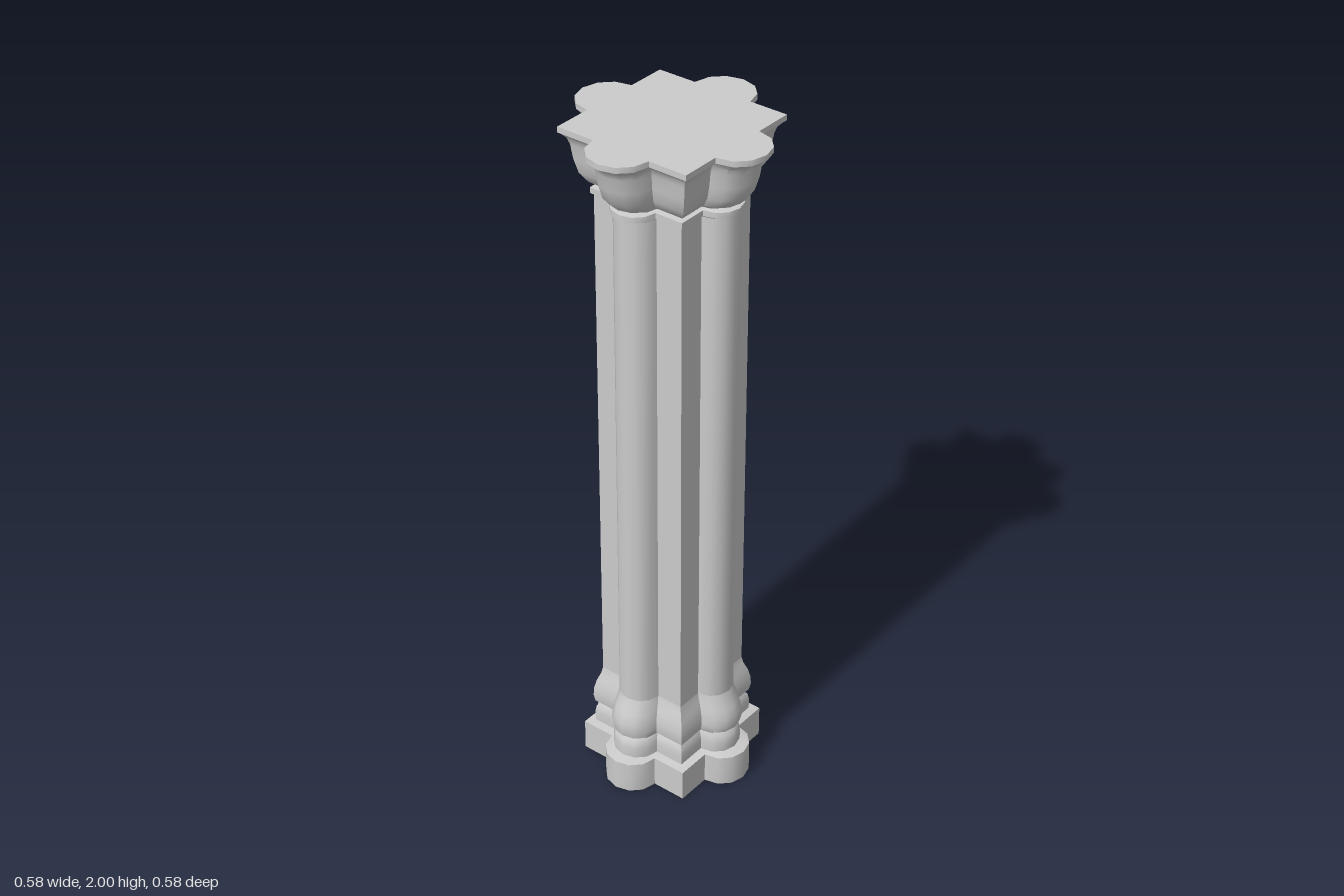
import * as THREE from 'three';
import { toCreasedNormals } from 'three/addons/utils/BufferGeometryUtils.js';

const REACH = 0.288; // lobe reach of the full-size cross-section
const material = new THREE.MeshStandardMaterial({ color: 0xcccccc, side: THREE.DoubleSide });

// Square plan with a faceted half-round lobe on each side
function crossSection() {
  const quarter = [
    [0.2, -0.087], [0.245, -0.076], [0.276, -0.045], [REACH, 0],
    [0.276, 0.045], [0.245, 0.076], [0.2, 0.087], [0.2, 0.2],
  ];
  const points = [];
  for (let k = 0; k < 4; k++) {
    for (const [x, y] of quarter) {
      points.push(new THREE.Vector2(x, y).rotateAround(new THREE.Vector2(), k * Math.PI / 2));
    }
  }
  return points;
}

const section = crossSection();

// Sweep the section up a profile of [reach, height] pairs
function loft(name, profile) {
  const positions = [];
  const index = [];
  const n = section.length;
  for (const [reach, y] of profile) {
    const s = reach / REACH;
    for (const p of section) positions.push(p.x * s, y, -p.y * s);
  }
  for (let r = 0; r < profile.length - 1; r++) {
    for (let i = 0; i < n; i++) {
      const a = r * n + i;
      const b = r * n + (i + 1) % n;
      index.push(a, b, b + n, a, b + n, a + n);
    }
  }
  const geometry = new THREE.BufferGeometry();
  geometry.setAttribute('position', new THREE.Float32BufferAttribute(positions, 3));
  geometry.setIndex(index);
  const mesh = new THREE.Mesh(toCreasedNormals(geometry, 0.7), material);
  mesh.name = name;
  return mesh;
}

export function createModel() {
  const column = new THREE.Group();
  column.name = 'column';

  // Base, open underneath
  column.add(loft('plinth', [[0.257, 0], [0.257, 0.095], [0.225, 0.1]]));
  column.add(loft('baseBand', [[0.225, 0.1], [0.226, 0.13], [0.222, 0.15], [0.212, 0.163]]));
  column.add(loft('baseMoulding', [
    [0.212, 0.163], [0.225, 0.17], [0.23, 0.19], [0.229, 0.215],
    [0.22, 0.245], [0.207, 0.27], [0.201, 0.29],
  ]));

  // Shaft and the ring at its neck
  column.add(loft('shaft', [[0.201, 0.29], [0.2, 1.81]]));
  column.add(loft('neckRing', [[0.2, 1.808], [0.21, 1.812], [0.21, 1.828], [0.185, 1.832]]));

  // Bell-shaped capital with a thin slab on top
  column.add(loft('capital', [
    [0.185, 1.83], [0.213, 1.843], [0.237, 1.87], [0.25, 1.91],
    [0.257, 1.95], [0.265, 1.968], [0.28, 1.98],
  ]));
  column.add(loft('abacus', [[0.28, 1.98], [REACH, 1.984], [REACH, 2]]));

  const lid = new THREE.Mesh(new THREE.ShapeGeometry(new THREE.Shape(section)), material);
  lid.name = 'abacusTop';
  lid.rotation.x = -Math.PI / 2;
  lid.position.y = 2;
  column.add(lid);

  return column;
}
